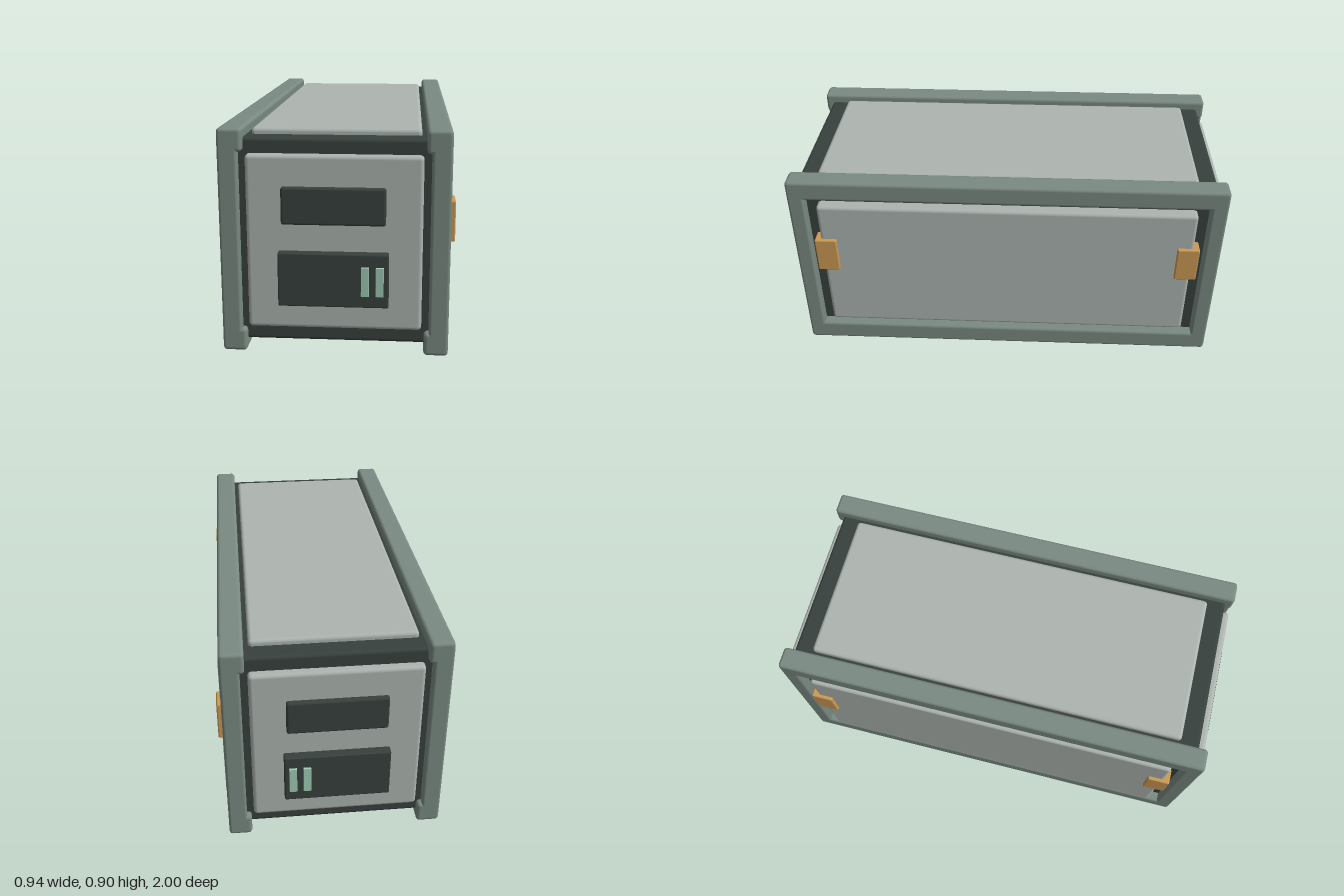
import * as THREE from 'three';
import { RoundedBoxGeometry } from 'three/addons/geometries/RoundedBoxGeometry.js';

const paint = (color) => new THREE.MeshStandardMaterial({ color });

export function createModel() {
  const model = new THREE.Group();
  const frameMat = paint(0x7a8a82);
  const hullMat = paint(0x37413d);
  const panelMat = paint(0xadb5b0);
  const clipMat = paint(0xcc9a55);
  const lightMat = paint(0xa0ccb6);

  // Bevelled box given by its extents on each axis
  function block(name, mat, [x0, x1], [y0, y1], [z0, z1], bevel, parent = model) {
    const geo = new RoundedBoxGeometry(x1 - x0, y1 - y0, z1 - z0, 2, bevel);
    const mesh = new THREE.Mesh(geo, mat);
    mesh.position.set((x0 + x1) / 2, (y0 + y1) / 2, (z0 + z1) / 2);
    mesh.name = name;
    parent.add(mesh);
    return mesh;
  }
  // Extents on one side of the centre, near to far
  const span = (s, a, b) => (s > 0 ? [a, b] : [-b, -a]);

  // Dark container body and roof panel
  block('hull', hullMat, [-0.405, 0.405], [0.04, 0.865], [-0.918, 0.918], 0.015);
  block('roofPanel', panelMat, [-0.335, 0.335], [0.8, 0.89], [-0.835, 0.835], 0.016);

  for (const s of [1, -1]) {
    // Side frame: two long rails joined by slimmer corner posts
    const frame = new THREE.Group();
    frame.name = s > 0 ? 'leftFrame' : 'rightFrame';
    model.add(frame);
    block('bottomRail', frameMat, span(s, 0.353, 0.45), [0, 0.095], [-0.952, 0.952], 0.015, frame);
    block('topRail', frameMat, span(s, 0.353, 0.45), [0.812, 0.905], [-0.952, 0.952], 0.015, frame);
    for (const e of [1, -1]) {
      block('cornerPost', frameMat, span(s, 0.372, 0.45), [0.01, 0.895], span(e, 0.88, 0.952), 0.012, frame);
      // Latches overlapping the ends of the side panel
      block('latch', clipMat, span(s, 0.4, 0.471), [0.445, 0.612], span(e, 0.757, 0.855), 0.006);
    }
    block('sidePanel', panelMat, span(s, 0.37, 0.456), [0.13, 0.785], [-0.83, 0.83], 0.016);

    // End wall: panel, two raised plates and a pair of lights
    const end = new THREE.Group();
    end.name = s > 0 ? 'frontEnd' : 'backEnd';
    model.add(end);
    block('endPanel', panelMat, [-0.343, 0.343], [0.106, 0.805], span(s, 0.88, 0.953), 0.016, end);
    block('upperPlate', hullMat, [-0.204, 0.201], [0.535, 0.683], span(s, 0.92, 0.974), 0.01, end);
    block('lowerPlate', hullMat, [-0.217, 0.214], [0.211, 0.427], span(s, 0.92, 0.99), 0.006, end);
    for (const x of [0.107, 0.164]) {
      block('statusLight', lightMat, [x, x + 0.031], [0.261, 0.377], span(s, 0.975, 1), 0.001, end);
    }
  }
  return model;
}
